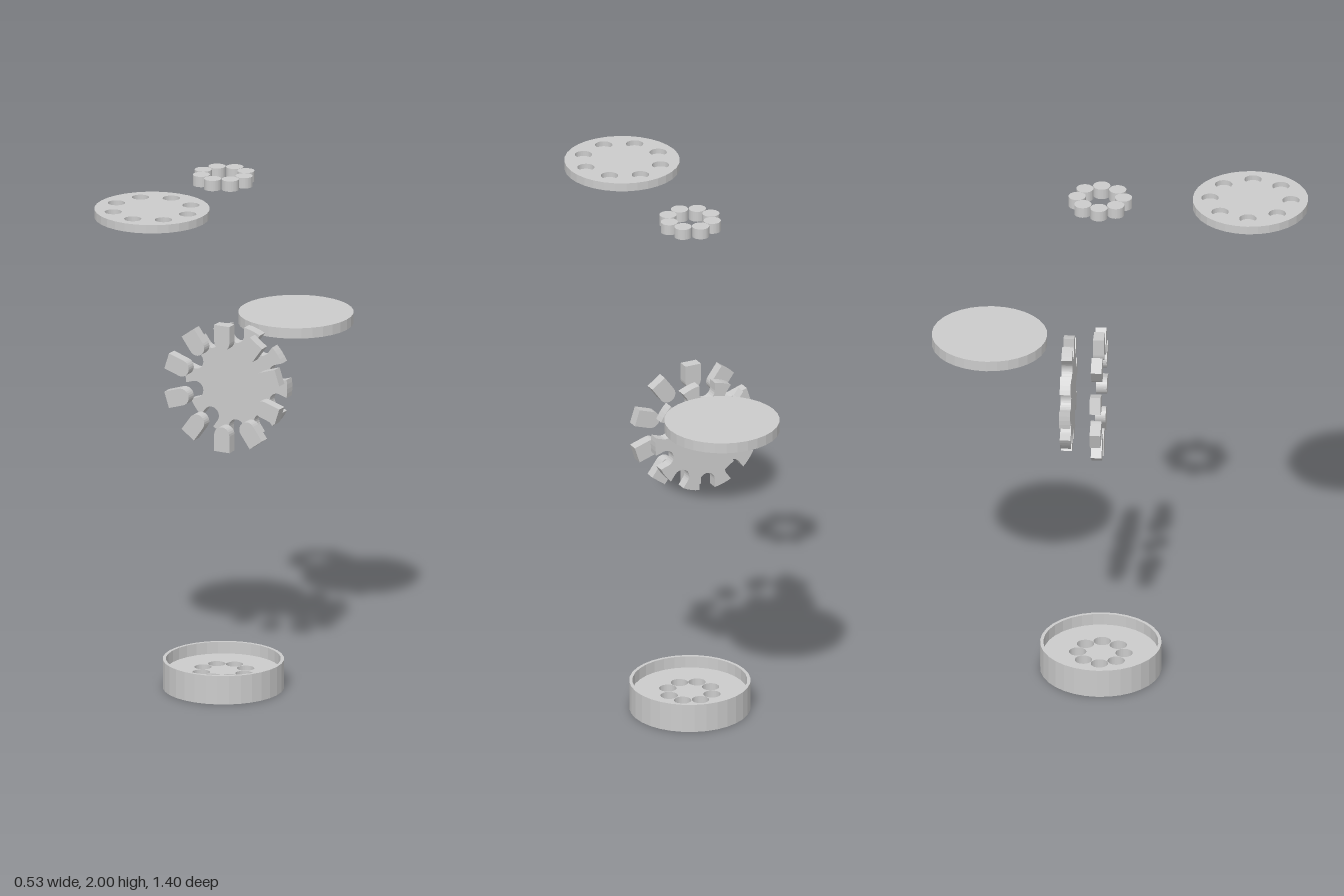
import * as THREE from 'three';

const SEG = 32;
const PIN_R = 0.032;   // radius shared by pegs, sockets and slots
const SLOT_IN = 0.18;  // centre of the rounded slot end
const DISC_R = 0.214;
const mat = new THREE.MeshStandardMaterial({ color: 0xcccccc, flatShading: true });

function add(parent, name, geometry, x = 0, y = 0, z = 0) {
  const mesh = new THREE.Mesh(geometry, mat);
  mesh.name = name;
  mesh.position.set(x, y, z);
  parent.add(mesh);
  return mesh;
}

function group(parent, name, x, y, z) {
  const g = new THREE.Group();
  g.name = name;
  g.position.set(x, y, z);
  parent.add(g);
  return g;
}

// Solid cylinder standing on its own y = 0
const disc = (r, h) => new THREE.CylinderGeometry(r, r, h, SEG).translate(0, h / 2, 0);

const extrude = (shape, depth) =>
  new THREE.ExtrudeGeometry(shape, { depth, bevelEnabled: false, curveSegments: SEG / 2 });

// Horizontal plate with eight round holes on a ring
function holedPlate(r, h, ringR) {
  const shape = new THREE.Shape().absarc(0, 0, r, 0, Math.PI * 2);
  for (let i = 0; i < 8; i++) {
    const a = (i * Math.PI) / 4;
    shape.holes.push(new THREE.Path().absarc(ringR * Math.cos(a), ringR * Math.sin(a), PIN_R, 0, Math.PI * 2, true));
  }
  return extrude(shape, h).rotateX(-Math.PI / 2);
}

// Outline of a radial slot: straight sides and a round inner end
function slotPoints(angle, outer) {
  const local = [[outer, -PIN_R]];
  for (let i = 0; i <= 12; i++) {
    const t = -Math.PI / 2 + (i * Math.PI) / 12;
    local.push([SLOT_IN - PIN_R * Math.cos(t), PIN_R * Math.sin(t)]);
  }
  local.push([outer, PIN_R]);
  const c = Math.cos(angle), s = Math.sin(angle);
  return local.map(([u, v]) => new THREE.Vector2(u * c - v * s, u * s + v * c));
}

export function createModel() {
  const model = new THREE.Group();
  model.name = 'explodedDiscAssembly';

  // Base tray: shallow cup with a socketed floor
  const tray = group(model, 'baseTray', -0.025, 0, -0.07);
  const profile = [[0, 0], [0.225, 0], [0.225, 0.11], [0.213, 0.11], [0.213, 0.025], [0, 0.025]]
    .map(([x, y]) => new THREE.Vector2(x, y));
  add(tray, 'trayShell', new THREE.LatheGeometry(profile, SEG));
  add(tray, 'socketFloor', holedPlate(0.213, 0.04, 0.086), 0, 0.025, 0);

  // Ring of loose pegs
  const pegs = group(model, 'pegRing', -0.025, 1.95, -0.072);
  for (let i = 0; i < 8; i++) {
    const a = (i * Math.PI) / 4;
    add(pegs, 'peg', disc(PIN_R, 0.04), 0.086 * Math.cos(a), 0, 0.086 * Math.sin(a));
  }

  // Disc with blind sockets in its top
  const socketDisc = group(model, 'socketDisc', -0.025, 1.968, 0.485);
  add(socketDisc, 'discBottom', disc(DISC_R, 0.012));
  add(socketDisc, 'discTop', holedPlate(DISC_R, 0.02, 0.15), 0, 0.012, 0);

  // Plain disc
  add(model, 'plainDisc', disc(DISC_R, 0.04), 0.054, 1.312, -0.488);

  // Upright slotted disc and the ten blocks that fit its slots
  const rimU = Math.sqrt(DISC_R ** 2 - PIN_R ** 2);
  const half = Math.asin(PIN_R / DISC_R);
  const step = Math.PI / 5;
  const outline = [];
  const blocks = group(model, 'slotBlocks', -0.025, 1.156, -0.097);
  for (let k = 0; k < 10; k++) {
    const a = Math.PI / 2 + k * step;
    outline.push(...slotPoints(a, rimU));
    for (let i = 1; i < 4; i++) {
      const t = a + half + ((step - 2 * half) * i) / 4;
      outline.push(new THREE.Vector2(DISC_R * Math.cos(t), DISC_R * Math.sin(t)));
    }
    add(blocks, 'slotBlock', extrude(new THREE.Shape(slotPoints(a, 0.244)), 0.04));
  }
  add(model, 'slottedDisc', extrude(new THREE.Shape(outline), 0.04), -0.025, 1.156, -0.211);

  return model;
}
